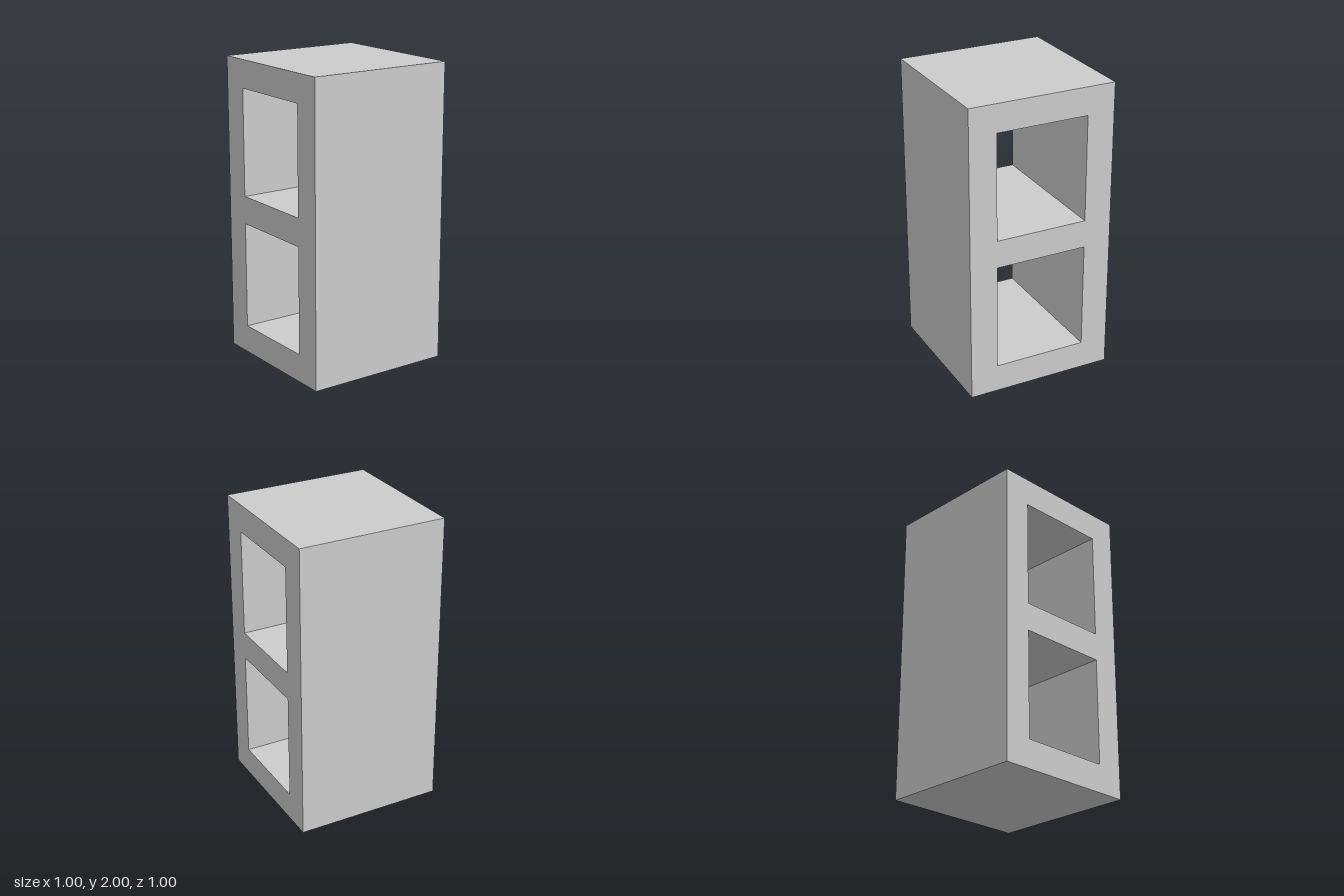
import * as THREE from 'three';

const WIDTH = 1, HEIGHT = 2, DEPTH = 1;
const WALL = 0.1875; // thickness of the outer walls and the middle web

// Closed rectangular path from its corners
function rectangle(PathType, x0, y0, x1, y1) {
  const path = new PathType();
  path.moveTo(x0, y0);
  path.lineTo(x1, y0);
  path.lineTo(x1, y1);
  path.lineTo(x0, y1);
  path.closePath();
  return path;
}

export function createModel() {
  const model = new THREE.Group();
  model.name = 'hollowBlock';

  // Outer face with two openings stacked one above the other
  const face = rectangle(THREE.Shape, -WIDTH / 2, 0, WIDTH / 2, HEIGHT);
  const openingHeight = (HEIGHT - 3 * WALL) / 2;
  const openingX = WIDTH / 2 - WALL;
  for (let i = 0; i < 2; i++) {
    const bottom = WALL + i * (openingHeight + WALL);
    face.holes.push(rectangle(THREE.Path, -openingX, bottom, openingX, bottom + openingHeight));
  }

  // Extrude front to back so the openings run right through
  const geometry = new THREE.ExtrudeGeometry(face, { depth: DEPTH, bevelEnabled: false });
  geometry.translate(0, 0, -DEPTH / 2);

  const material = new THREE.MeshStandardMaterial({ color: 0xcccccc, flatShading: true });
  const block = new THREE.Mesh(geometry, material);
  block.name = 'blockBody';
  model.add(block);

  return model;
}
